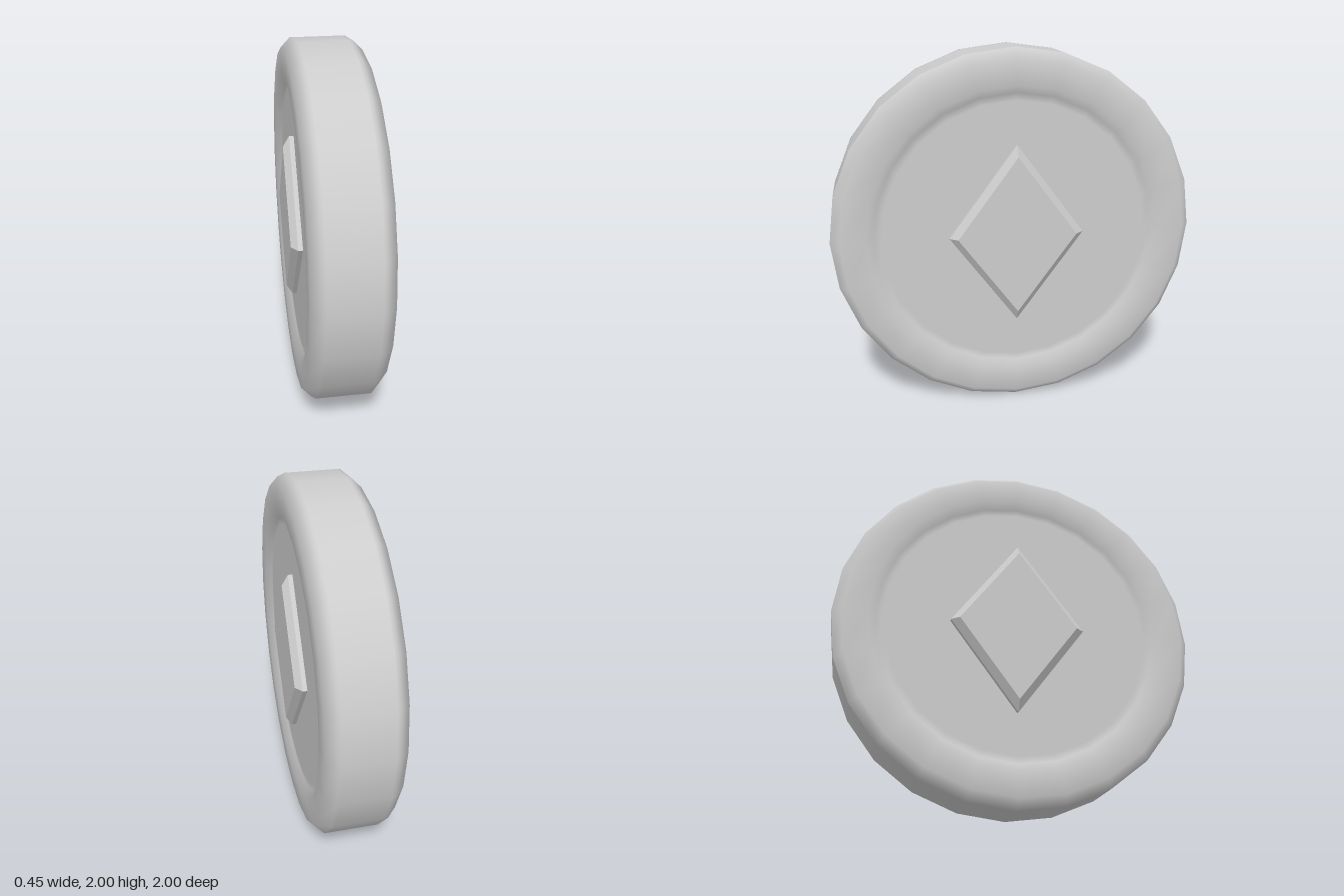
import * as THREE from 'three';

// Revolve a [radius, offset] profile around the x axis
function turned(profile, sides) {
  const points = profile.map(([r, h]) => new THREE.Vector2(r, h));
  return new THREE.LatheGeometry(points, sides).rotateZ(-Math.PI / 2);
}

export function createModel() {
  const group = new THREE.Group();
  const grey = new THREE.MeshStandardMaterial({ color: 0xcccccc });
  grey.name = 'grey';

  // Coin: sunken face, raised rim, chamfered edge; mirrored for the other face
  const half = [
    [1, 0.13], [1, 0.15], [0.95, 0.2], [0.81, 0.2],
    [0.77, 0.165], [0.73, 0.165], [0, 0.165],
  ];
  const otherHalf = half.map(([r, h]) => [r, -h]).reverse();
  const coin = new THREE.Mesh(turned([...otherHalf, ...half], 24), grey);
  coin.name = 'coin';
  coin.position.y = 1;
  group.add(coin);

  // Raised diamond with bevelled edges on each face
  const diamondProfile = [[0.5, 0.16], [0.5, 0.19], [0.44, 0.225], [0, 0.225]];
  for (const side of [1, -1]) {
    const geometry = turned(diamondProfile, 4).scale(1, 1, 0.74).toNonIndexed();
    geometry.computeVertexNormals();
    const diamond = new THREE.Mesh(geometry, grey);
    diamond.name = side > 0 ? 'leftDiamond' : 'rightDiamond';
    diamond.position.y = 1;
    if (side < 0) diamond.rotation.y = Math.PI;
    group.add(diamond);
  }
  return group;
}
